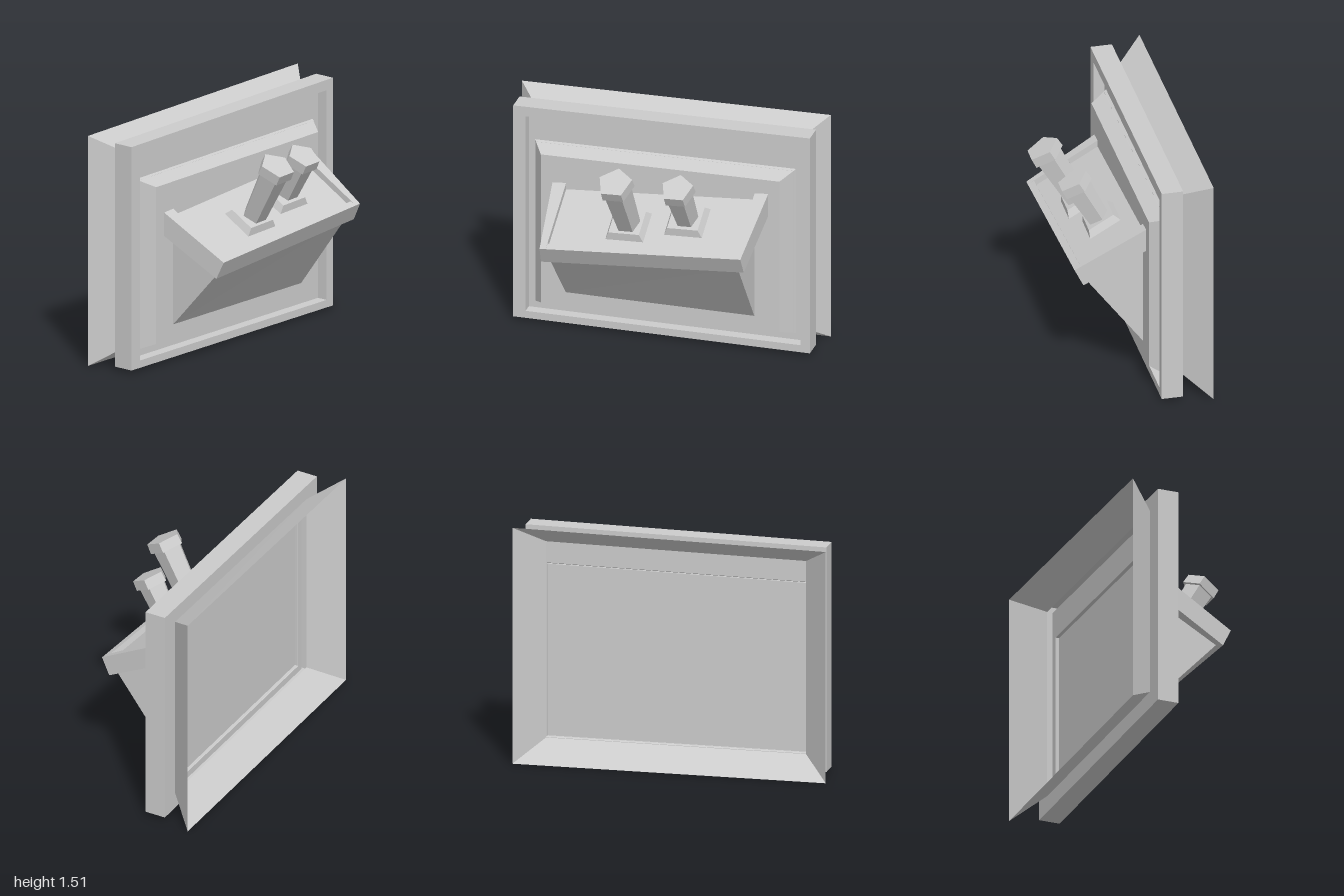
import * as THREE from 'three';

const material = new THREE.MeshStandardMaterial({ color: 0xcccccc, flatShading: true, side: THREE.DoubleSide });

function add(parent, name, geometry) {
  const mesh = new THREE.Mesh(geometry, material);
  mesh.name = name;
  parent.add(mesh);
  return mesh;
}

// Move every vertex of a geometry by a rule
function bend(geometry, rule) {
  const p = geometry.attributes.position, v = new THREE.Vector3();
  for (let i = 0; i < p.count; i++) {
    rule(v.fromBufferAttribute(p, i));
    p.setXYZ(i, v.x, v.y, v.z);
  }
  geometry.computeVertexNormals();
  return geometry;
}

// Skin rectangular rings [left, right, bottom, top, z] in order
function loft(rings, cap) {
  const pos = [], index = [];
  for (const [l, r, b, t, z] of rings) pos.push(l, b, z, r, b, z, r, t, z, l, t, z);
  for (let k = 0; k + 1 < rings.length; k++) {
    for (let i = 0; i < 4; i++) {
      const a = k * 4 + i, b = k * 4 + (i + 1) % 4;
      index.push(a, b, b + 4, a, b + 4, a + 4);
    }
  }
  const n = (rings.length - 1) * 4;
  if (cap) index.push(n, n + 1, n + 2, n, n + 2, n + 3);
  const g = new THREE.BufferGeometry();
  g.setAttribute('position', new THREE.Float32BufferAttribute(pos, 3));
  g.setIndex(index);
  const flat = g.toNonIndexed();
  // The top edges rise slightly toward +x
  return bend(flat, v => { v.y *= 1 + 0.01 * v.x; });
}

// Extrude a [z, y] profile along x
function prism(profile, x0, x1) {
  const shape = new THREE.Shape(profile.map(([z, y]) => new THREE.Vector2(z, y)));
  const g = new THREE.ExtrudeGeometry(shape, { depth: x1 - x0, bevelEnabled: false });
  return g.rotateY(-Math.PI / 2).translate(x1, 0, 0);
}

const TILT = 0.075;   // sideways slant of the shelf
const SLOPE = 0.573;  // fall of the shelf toward the front

export function createModel() {
  const model = new THREE.Group();
  model.name = 'wallControlPanel';

  // Flared open collar at the back
  add(model, 'backCollar', loft([
    [-1, 1, 0, 1.5, -0.45],
    [-0.83, 0.83, 0.13, 1.38, -0.265],
  ]));

  // Frame with a sunken floor
  add(model, 'frame', loft([
    [-0.83, 0.83, 0.13, 1.38, -0.265],
    [-0.96, 0.96, 0.022, 1.478, -0.265],
    [-0.96, 0.96, 0.022, 1.478, -0.128],
    [-0.88, 0.9, 0.07, 1.412, -0.128],
    [-0.88, 0.9, 0.07, 1.412, -0.2],
    [-0.84, 0.85, 0.115, 1.227, -0.2],
  ]));

  // Raised plate with bevelled edges
  add(model, 'facePlate', loft([
    [-0.84, 0.85, 0.115, 1.227, -0.2],
    [-0.77, 0.775, 0.16, 1.18, -0.09],
  ], true));

  // Panel closing the plate from behind, set in a little
  add(model, 'backPanel', loft([
    [-0.83, 0.84, 0.122, 1.22, -0.2],
    [-0.83, 0.84, 0.122, 1.22, -0.182],
  ], true));

  // Wedge under the shelf
  add(model, 'shelfSupport', bend(
    prism([[-0.09, 0.25], [0.27, 0.686], [-0.09, 0.892]], -0.608, 0.612),
    v => { if (v.y > 0.3) v.y += TILT * v.x; }));

  // Sloping shelf: sunken top with a front lip, and a rim at each side
  const shelf = new THREE.Group();
  shelf.name = 'shelf';
  shelf.position.x = 0.004;
  model.add(shelf);
  const slant = v => {
    if (Math.abs(v.x) > 0.65) v.x = Math.sign(v.x) * (0.698 - 0.108 * (v.z + 0.09));
    v.y += TILT * v.x;
  };
  const core = [[-0.09, 1.0], [0.3, 0.777], [0.315, 0.808], [0.355, 0.788], [0.3, 0.676], [-0.09, 0.892]];
  const rim = [[-0.09, 1.043], [0.355, 0.788], [0.3, 0.676], [-0.09, 0.892]];
  add(shelf, 'shelfTop', bend(prism(core, -0.61, 0.61), slant));
  add(shelf, 'rightRim', bend(prism(rim, -0.7, -0.61), slant));
  add(shelf, 'leftRim', bend(prism(rim, 0.61, 0.7), slant));

  // Axes of the shelf surface, for the levers
  const down = new THREE.Vector3(0, -SLOPE, 1).normalize();
  const up = down.clone().cross(new THREE.Vector3(1, TILT, 0)).normalize();
  const side = up.clone().cross(down);
  const basis = new THREE.Matrix4().makeBasis(side, up, down);

  // Levers: square foot, five-sided post and cap
  const levers = [
    { x: -0.135, z: 0.14, length: 0.467, r: 0.115, name: 'rightLever' },
    { x: 0.23, z: 0.09, length: 0.362, r: 0.108, name: 'leftLever' },
  ];
  for (const { x, z, length, r, name } of levers) {
    const lever = new THREE.Group();
    lever.name = name;
    lever.position.set(x, 1.0 - SLOPE * (z + 0.09) + TILT * x, z);
    lever.quaternion.setFromRotationMatrix(basis);
    model.add(lever);
    const foot = new THREE.CylinderGeometry(0.1 * Math.SQRT2, 0.126 * Math.SQRT2, 0.05, 4);
    add(lever, 'foot', foot.rotateY(Math.PI / 4).scale(1, 1, 0.9).translate(0, 0.02, -0.008));
    const postTop = length - 0.065;
    const post = new THREE.CylinderGeometry(r * 0.82, r * 0.66, postTop, 5);
    add(lever, 'post', post.rotateY(Math.PI).translate(0.008, postTop / 2, 0));
    const cap = new THREE.CylinderGeometry(r * 0.97, r, 0.065, 5);
    add(lever, 'cap', cap.rotateY(Math.PI).translate(0.01, length - 0.0325, 0));
  }
  return model;
}
